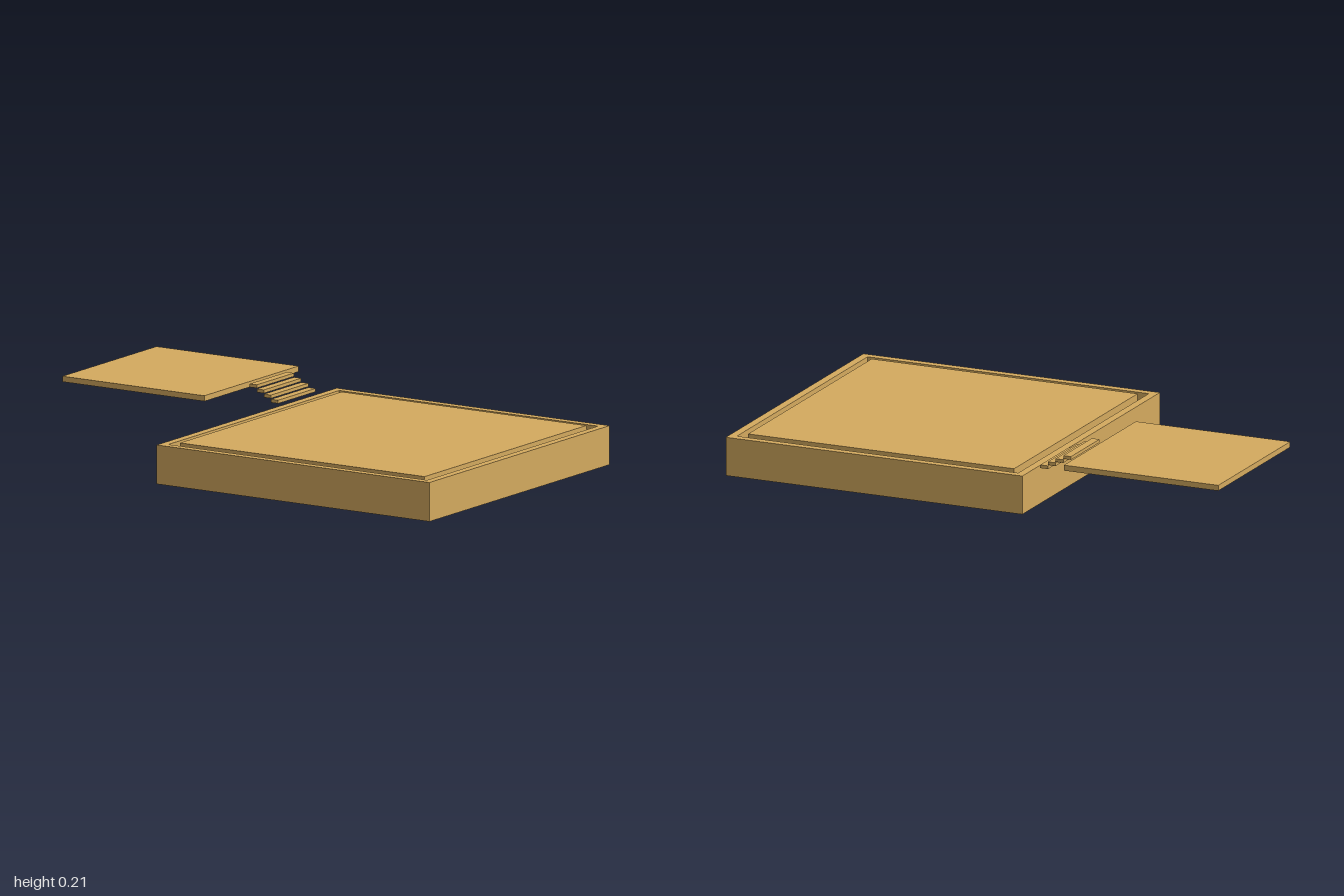
import * as THREE from 'three';

const material = new THREE.MeshStandardMaterial({ color: 0xd4aa5f, flatShading: true });

// Box given by its minimum and maximum corners
function block(name, [x0, y0, z0], [x1, y1, z1]) {
  const mesh = new THREE.Mesh(new THREE.BoxGeometry(x1 - x0, y1 - y0, z1 - z0), material);
  mesh.name = name;
  mesh.position.set((x0 + x1) / 2, (y0 + y1) / 2, (z0 + z1) / 2);
  return mesh;
}

const CX = 0.398; // centre of the square pool base

function square(half, name, y0, y1) {
  return block(name, [CX - half, y0, -half], [CX + half, y1, half]);
}

// Square frame with a square opening, extruded upwards
function squareFrame(name, outer, inner, y0, y1) {
  const corners = (h) => [[-h, -h], [h, -h], [h, h], [-h, h]].map(([x, y]) => new THREE.Vector2(x, y));
  const shape = new THREE.Shape(corners(outer));
  shape.holes.push(new THREE.Path(corners(inner).reverse()));
  const geometry = new THREE.ExtrudeGeometry(shape, { depth: y1 - y0, bevelEnabled: false });
  geometry.rotateX(-Math.PI / 2);
  const mesh = new THREE.Mesh(geometry, material);
  mesh.name = name;
  mesh.position.set(CX, y0, 0);
  return mesh;
}

export function createModel() {
  const model = new THREE.Group();
  model.name = 'terrace';

  // Large base: slab, raised rim and inner floor separated by a groove
  const grooveFloor = 0.115;
  model.add(square(0.602, 'baseSlab', 0, grooveFloor));
  model.add(squareFrame('rim', 0.602, 0.571, grooveFloor, 0.147));
  model.add(square(0.54, 'innerFloor', grooveFloor, 0.151));

  // Raised side platform
  model.add(block('sidePlatform', [-1, 0.189, -0.602], [-0.373, 0.21, 0.027]));

  // Floating steps leading down from the platform to the base
  const steps = new THREE.Group();
  steps.name = 'steps';
  for (let i = 0; i < 4; i++) {
    const x = -0.35 + i * 0.0313;
    const top = 0.21 - i * 0.0157;
    steps.add(block('step', [x, top - 0.0125, -0.49], [x + 0.0313, top, -0.241]));
  }
  model.add(steps);

  return model;
}
